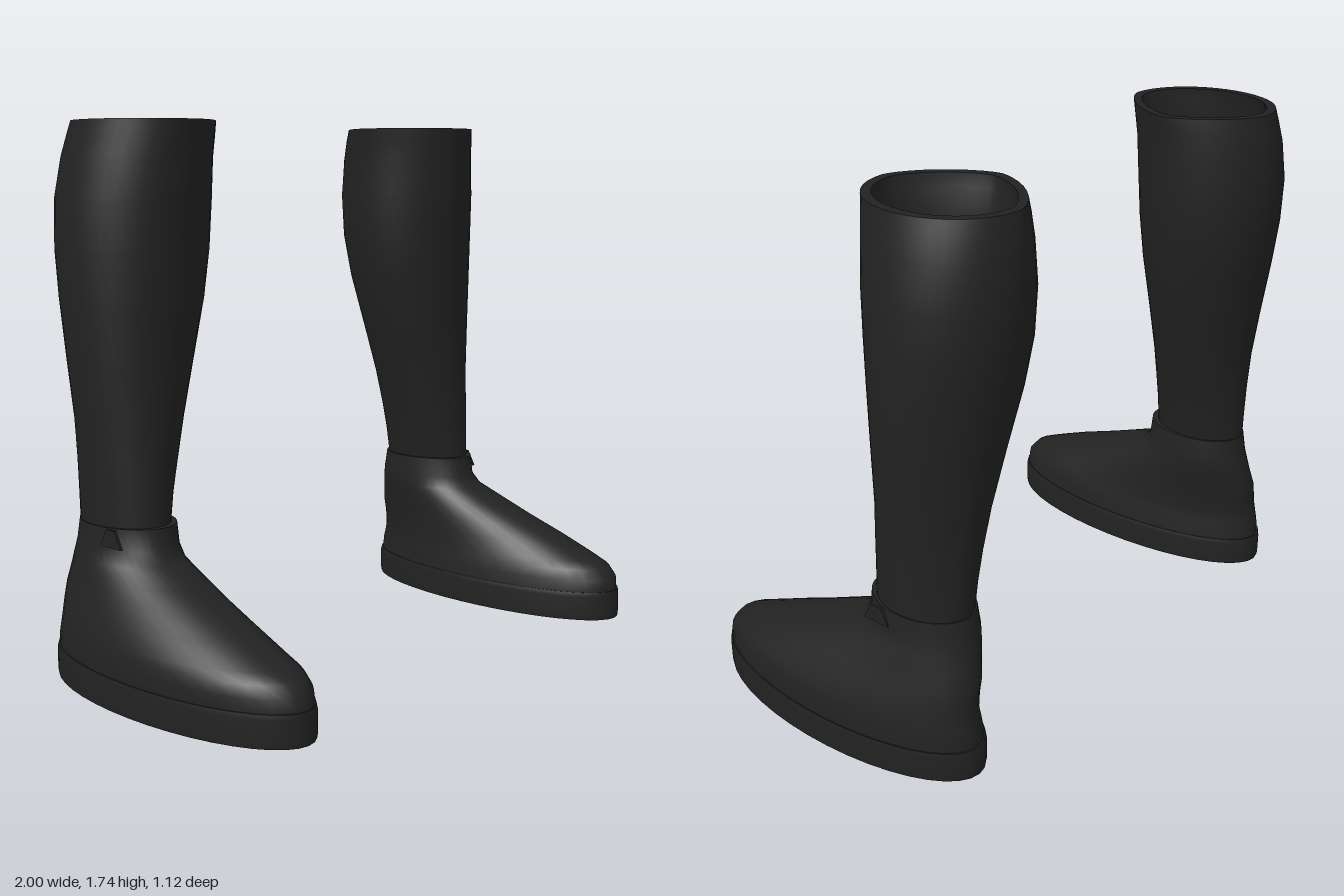
import * as THREE from 'three';

const SEGMENTS = 40;

// Rings: [y, inner x, outer x, back z, front z, inner-side exponent (2 = round)]
const SOLE = [
  [0, 0.592, 0.998, -0.515, 0.558],
  [0.015, 0.59, 1.0, -0.518, 0.56],
  [0.085, 0.59, 1.0, -0.518, 0.56],
  [0.1, 0.594, 0.997, -0.514, 0.556],
];
const UPPER = [
  [0.1, 0.596, 0.993, -0.508, 0.552],
  [0.14, 0.6, 0.993, -0.505, 0.548],
  [0.175, 0.607, 0.987, -0.497, 0.518],
  [0.2, 0.612, 0.98, -0.492, 0.46],
  [0.25, 0.618, 0.96, -0.49, 0.34],
  [0.3, 0.62, 0.935, -0.49, 0.21],
  [0.35, 0.619, 0.915, -0.478, 0.085],
  [0.4, 0.616, 0.895, -0.465, -0.04],
  [0.44, 0.616, 0.882, -0.457, -0.075],
  [0.51, 0.622, 0.875, -0.445, -0.083],
];
const SHAFT = [
  [0.5, 0.635, 0.87, -0.44, -0.105],
  [0.6, 0.617, 0.873, -0.444, -0.106],
  [0.7, 0.592, 0.877, -0.45, -0.105],
  [0.83, 0.557, 0.882, -0.463, -0.105],
  [1.0, 0.507, 0.895, -0.49, -0.098],
  [1.2, 0.452, 0.905, -0.527, -0.085],
  [1.35, 0.428, 0.907, -0.55, -0.075],
  [1.5, 0.417, 0.9, -0.56, -0.063, 1.9],
  [1.63, 0.414, 0.875, -0.552, -0.05, 1.75],
  [1.7, 0.405, 0.858, -0.54, -0.038, 1.6],
  [1.74, 0.4, 0.848, -0.532, -0.03, 1.5],
];

const inset = ([y, x0, x1, z0, z1, e], t) => [y, x0 + t, x1 - t, z0 + t, z1 - t, e];
const centre = ([y, x0, x1, z0, z1]) => {
  const x = (x0 + x1) / 2, z = (z0 + z1) / 2;
  return [y, x, x, z, z];
};

// Skins a stack of rounded rings; side = -1 mirrors it and its winding.
function loft(rings, side) {
  const positions = [], index = [];
  for (const [y, x0, x1, z0, z1, innerPower = 2] of rings) {
    for (let j = 0; j < SEGMENTS; j++) {
      const a = (j / SEGMENTS) * Math.PI * 2;
      const c = Math.cos(a), s = Math.sin(a);
      const p = 2 / (c < 0 ? innerPower : 2);
      const x = (x0 + x1) / 2 + ((x1 - x0) / 2) * Math.sign(c) * Math.abs(c) ** p;
      const z = (z0 + z1) / 2 + ((z1 - z0) / 2) * Math.sign(s) * Math.abs(s) ** p;
      positions.push(side * x, y, z);
    }
  }
  for (let i = 0; i < rings.length - 1; i++) {
    for (let j = 0; j < SEGMENTS; j++) {
      const k = (j + 1) % SEGMENTS;
      const a = i * SEGMENTS + j, b = a + SEGMENTS;
      const d = i * SEGMENTS + k, e = d + SEGMENTS;
      if (side > 0) index.push(a, b, d, b, e, d);
      else index.push(a, d, b, b, d, e);
    }
  }
  const geometry = new THREE.BufferGeometry();
  geometry.setAttribute('position', new THREE.Float32BufferAttribute(positions, 3));
  geometry.setIndex(index);
  geometry.computeVertexNormals();
  return geometry;
}

function createBoot(side, material) {
  const boot = new THREE.Group();
  boot.name = side > 0 ? 'leftBoot' : 'rightBoot';
  const add = (name, geometry) => {
    const mesh = new THREE.Mesh(geometry, material);
    mesh.name = name;
    boot.add(mesh);
    return mesh;
  };

  // Sole with closed underside and a narrow welt on top
  add('sole', loft(SOLE, side));
  add('soleUnderside', loft([centre(SOLE[0]), SOLE[0]], side));
  add('soleWelt', loft([SOLE[3], inset(UPPER[0], 0.01)], side));

  // Foot upper with its ankle edge
  add('footUpper', loft(UPPER, side));
  const ankle = UPPER[UPPER.length - 1];
  add('ankleEdge', loft([ankle, inset(ankle, 0.03)], side));

  // Leg shaft, rim, lining and inner floor
  add('shaft', loft(SHAFT, side));
  const top = SHAFT[SHAFT.length - 1];
  add('shaftRim', loft([top, inset(top, 0.03)], side));
  const lining = SHAFT.map((ring, i) => inset(ring, i > 8 ? 0.03 : 0.04)).reverse();
  add('shaftLining', loft(lining, side));
  const floor = lining[lining.length - 1];
  add('innerFloor', loft([floor, centre(floor)], side));

  // Small tab on the outer ankle
  const outline = new THREE.Shape([
    new THREE.Vector2(-0.05, 0), new THREE.Vector2(0.05, 0),
    new THREE.Vector2(0.02, 0.055), new THREE.Vector2(-0.02, 0.055),
  ]);
  const tab = add('ankleTab', new THREE.ExtrudeGeometry(outline, { depth: 0.009, bevelEnabled: false }));
  tab.rotation.y = (side * Math.PI) / 2;
  tab.position.set(side * 0.872, 0.452, -0.19);
  return boot;
}

export function createModel() {
  const model = new THREE.Group();
  model.name = 'boots';
  const leather = new THREE.MeshStandardMaterial({ color: 0x222222 });
  leather.name = 'blackLeather';
  for (const side of [1, -1]) model.add(createBoot(side, leather));
  return model;
}
